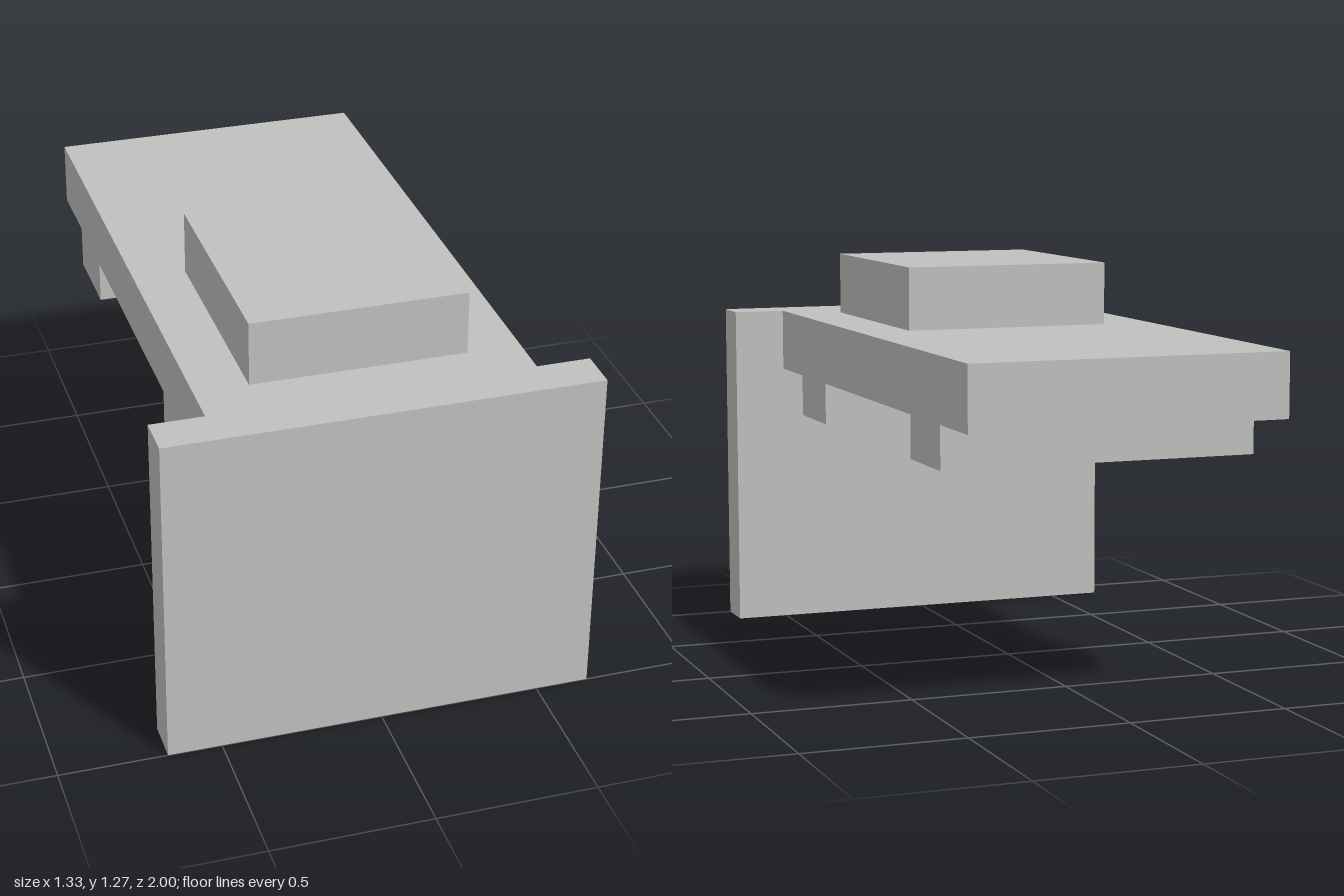
import * as THREE from 'three';

export function createModel() {
  const model = new THREE.Group();
  const grey = new THREE.MeshStandardMaterial({ color: 0xc0c0be });
  grey.name = 'light grey';

  const add = (name, geometry) => {
    const mesh = new THREE.Mesh(geometry, grey);
    mesh.name = name;
    model.add(mesh);
  };

  // Box from its y and z ranges, centred on x
  const box = (name, width, y0, y1, z0, z1) =>
    add(name, new THREE.BoxGeometry(width, y1 - y0, z1 - z0)
      .translate(0, (y0 + y1) / 2, (z0 + z1) / 2));

  // Upright front plate and raised block on the deck
  box('frontPlate', 1.333, 0, 1.067, 0.867, 1);
  box('topBlock', 0.667, 1.067, 1.267, 0, 0.733);

  // Deck with two cross ribs beneath: side profile as [z, y], extruded across x
  const top = 1.067, under = 0.867, rib = 0.733;
  const profile = [
    [-1, under], [-0.767, under], [-0.767, rib], [-0.5, rib], [-0.5, under],
    [0.367, under], [0.367, rib], [0.633, rib], [0.633, under],
    [0.867, under], [0.867, top], [-1, top],
  ].map(([z, y]) => new THREE.Vector2(z, y));
  add('ribbedDeck', new THREE.ExtrudeGeometry(new THREE.Shape(profile), { depth: 1, bevelEnabled: false })
    .rotateY(-Math.PI / 2).translate(0.5, 0, 0));

  return model;
}
